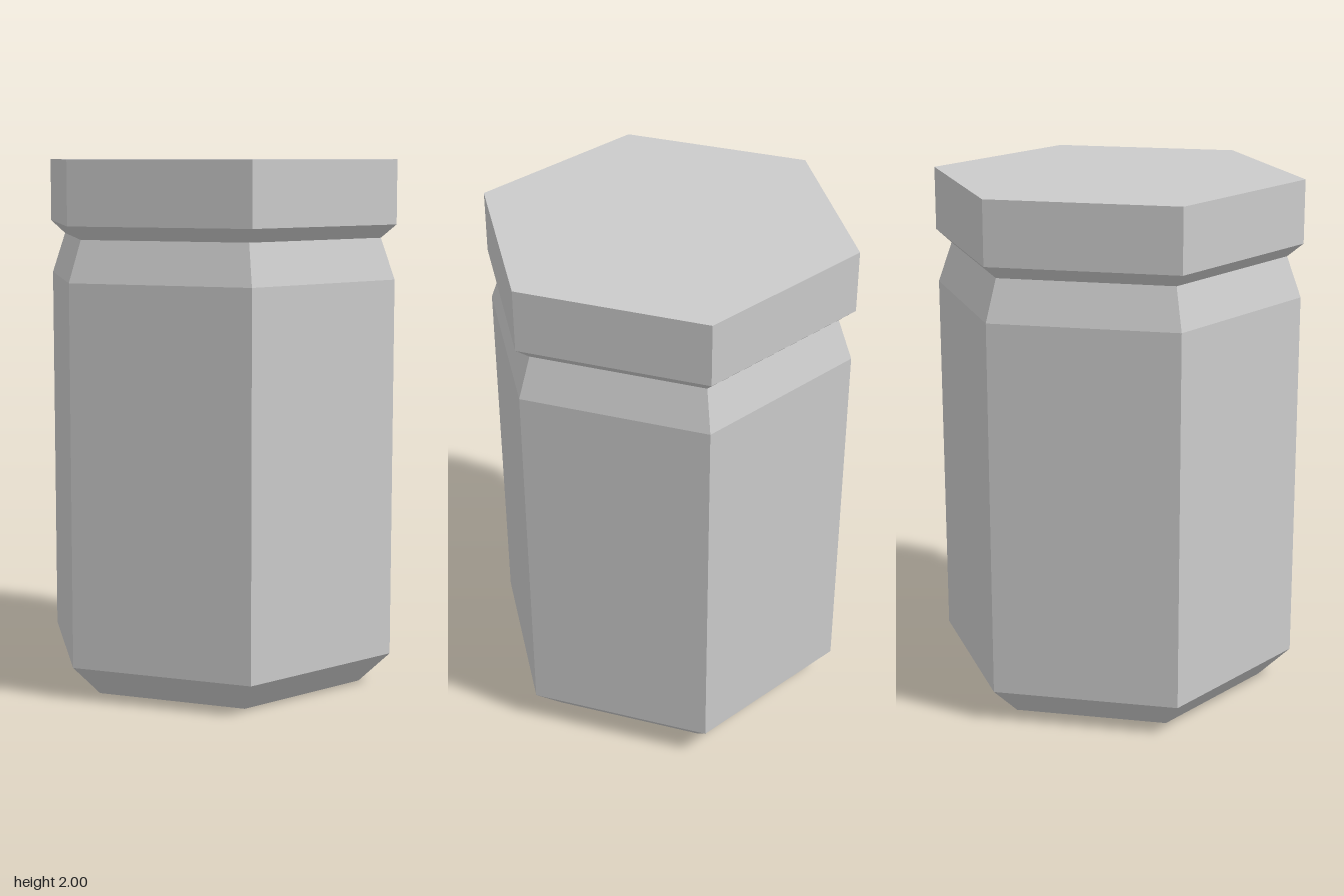
import * as THREE from 'three';

const SIDES = 6;
const TURN = THREE.MathUtils.degToRad(35); // angle of the first corner, from +z towards +x

// Six-sided faceted solid from a [radius, height] profile, listed bottom to top
function hexPart(name, profile) {
  const points = profile.map(([r, y]) => new THREE.Vector2(r, y));
  const geometry = new THREE.LatheGeometry(points, SIDES, TURN);
  const material = new THREE.MeshStandardMaterial({ color: 0xcccccc, flatShading: true });
  const mesh = new THREE.Mesh(geometry, material);
  mesh.name = name;
  return mesh;
}

export function createModel() {
  const group = new THREE.Group();
  group.name = 'hexagonalJar';

  // Body: flat base, bevelled foot, straight walls, sloping shoulder up to the neck
  group.add(hexPart('jarBody', [
    [0, 0], [0.58, 0], [0.703, 0.12], [0.703, 1.555], [0.648, 1.71],
  ]));

  // Lid: bevelled underside rising from the neck, upright rim, flat top
  group.add(hexPart('lid', [
    [0.648, 1.71], [0.708, 1.76], [0.708, 2], [0, 2],
  ]));

  return group;
}
